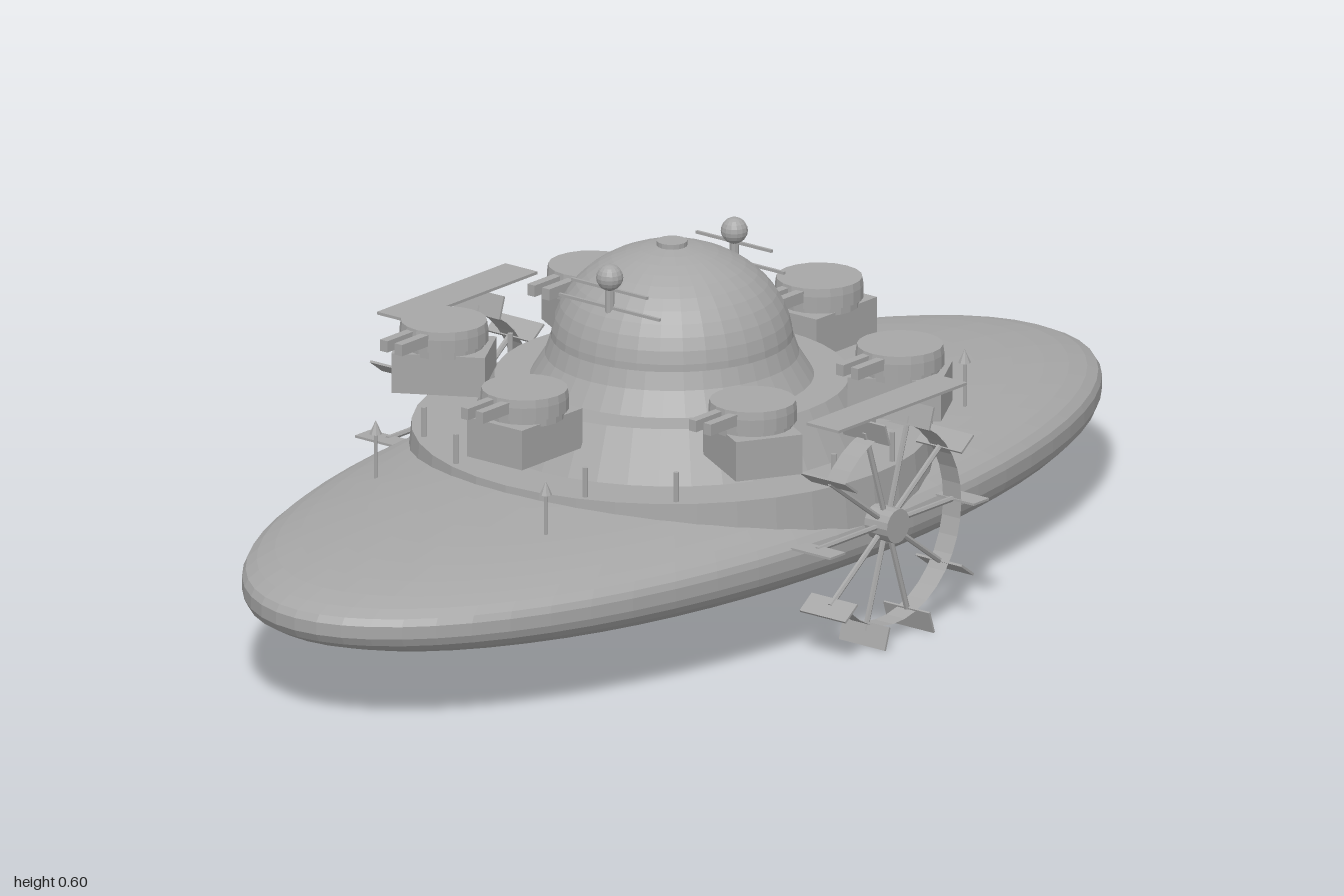
import * as THREE from 'three';

export function createModel() {
  const model = new THREE.Group();
  model.name = 'paddleSaucer';
  const grey = new THREE.MeshStandardMaterial({ color: 0xa6a6a6, flatShading: true, side: THREE.DoubleSide });
  grey.name = 'grey';

  const add = (name, geo, x = 0, y = 0, z = 0, parent = model) => {
    const m = new THREE.Mesh(geo, grey);
    m.name = name;
    m.position.set(x, y, z);
    parent.add(m);
    return m;
  };
  const group = (name, x, y, z, parent = model) => {
    const g = new THREE.Group();
    g.name = name;
    g.position.set(x, y, z);
    parent.add(g);
    return g;
  };
  const box = (w, h, d) => new THREE.BoxGeometry(w, h, d);
  const cyl = (rTop, rBottom, h, n = 16) => new THREE.CylinderGeometry(rTop, rBottom, h, n);
  const lathe = (pts, n) => new THREE.LatheGeometry(pts.map(([r, y]) => new THREE.Vector2(r, y)), n);

  // Oval hull: deep underside, narrow rim band, shallow upper side
  const hull = [];
  for (let i = 0; i <= 12; i++) {
    const a = (i / 12) * Math.PI / 2;
    hull.push([Math.sin(a), 0.168 - 0.108 * Math.cos(a)]);
  }
  for (let i = 0; i <= 12; i++) {
    const a = (i / 12) * Math.PI / 2;
    hull.push([Math.cos(a), 0.19 + 0.09 * Math.sin(a)]);
  }
  add('hull', lathe(hull, 64)).scale.z = 0.45;

  // Round deck with stepped collar
  add('deck', lathe([[0.45, 0.18], [0.44, 0.283], [0.345, 0.283], [0.3, 0.37],
    [0.24, 0.37], [0.215, 0.41], [0.205, 0.44]], 40));

  // Dome and its top hatch
  const dome = [];
  for (let i = 0; i <= 12; i++) {
    const a = (i / 12) * Math.PI / 2;
    dome.push([0.205 * Math.cos(a), 0.43 + 0.17 * Math.sin(a)]);
  }
  add('dome', lathe(dome, 32));
  add('domeHatch', cyl(0.026, 0.026, 0.014), 0, 0.6, 0);

  // Six gun turrets, all aimed towards -x
  for (let i = 0; i < 6; i++) {
    const a = (i * Math.PI) / 3;
    const x = 0.39 * Math.cos(a), z = 0.39 * Math.sin(a);
    const t = group('turret', x, 0, z);
    const base = add('turretBase', box(0.16, 0.07, 0.12), 0, 0.365, 0, t);
    base.rotation.y = -a;
    add('turretNeck', cyl(0.068, 0.068, 0.02, 20), 0, 0.405, 0, t);
    add('turretDrum', cyl(0.075, 0.075, 0.022, 20), 0, 0.42, 0, t);
    add('turretLid', cyl(0.073, 0.075, 0.014, 20), 0, 0.438, 0, t);
    for (const s of [-1, 1]) {
      add('gunBarrel', box(0.09, 0.02, 0.016), -0.095, 0.43, s * 0.016, t);
    }
    // Rail posts either side of the turret
    for (const s of [-1, 1]) {
      const b = a + s * 0.34;
      add('railPost', cyl(0.005, 0.005, 0.06, 6), 0.425 * Math.cos(b), 0.305, 0.425 * Math.sin(b));
    }
  }

  // Paddle wheels on the front and back
  for (const side of [-1, 1]) {
    const w = group('paddleWheel', 0, 0.203, side * 0.47);
    const hub = add('wheelHub', cyl(0.03, 0.03, 0.05), 0, 0, 0, w);
    hub.rotation.x = Math.PI / 2;
    const axle = add('axle', cyl(0.014, 0.014, 0.1, 8), 0, 0, -side * 0.05, w);
    axle.rotation.x = Math.PI / 2;
    // Open-topped rim band
    const rim = add('wheelRim', new THREE.CylinderGeometry(0.173, 0.173, 0.04, 28, 1, true,
      -Math.PI * 0.3, Math.PI * 1.6), 0, 0, 0, w);
    rim.rotation.x = Math.PI / 2;
    rim.rotation.z = 0;
    for (let i = 0; i < 10; i++) {
      const arm = group('paddleArm', 0, 0, 0, w);
      arm.rotation.z = (i * Math.PI) / 5;
      add('spoke', cyl(0.005, 0.005, 0.17, 6), 0.1, 0, 0, arm).rotation.z = Math.PI / 2;
      add('paddle', box(0.04, 0.004, 0.1), 0.19, 0, 0, arm);
    }
    // Guard plank above the wheel
    add('guardPlank', box(0.34, 0.005, 0.07), 0, 0.212, 0, w);
  }

  // Ball masts with cross wires beside the dome
  for (const s of [-1, 1]) {
    const m = group('ballMast', s * 0.165, 0, 0);
    add('mastPole', cyl(0.008, 0.008, 0.08, 8), 0, 0.535, 0, m);
    add('mastBall', new THREE.SphereGeometry(0.023, 14, 10), 0, 0.583, 0, m);
    add('upperWire', box(0.005, 0.005, 0.165), 0, 0.563, 0, m);
    add('lowerWire', box(0.005, 0.005, 0.22), 0, 0.53, 0, m);
  }

  // Chimney
  add('chimney', cyl(0.019, 0.019, 0.14, 14), 0.25, 0.4, -0.147);
  add('chimneyCap', cyl(0.024, 0.024, 0.05, 14), 0.25, 0.457, -0.147);
  add('chimneyFoot', cyl(0.024, 0.024, 0.012, 14), 0.25, 0.376, -0.147);

  // Pointed marker posts on the hull
  for (const [x, z] of [[-0.47, -0.26], [0.53, -0.17], [-0.54, 0.17], [0.46, 0.26]]) {
    add('markerPost', cyl(0.003, 0.003, 0.11, 6), x, 0.285, z);
    add('markerTip', new THREE.ConeGeometry(0.011, 0.024, 8), x, 0.34, z);
  }

  return model;
}
